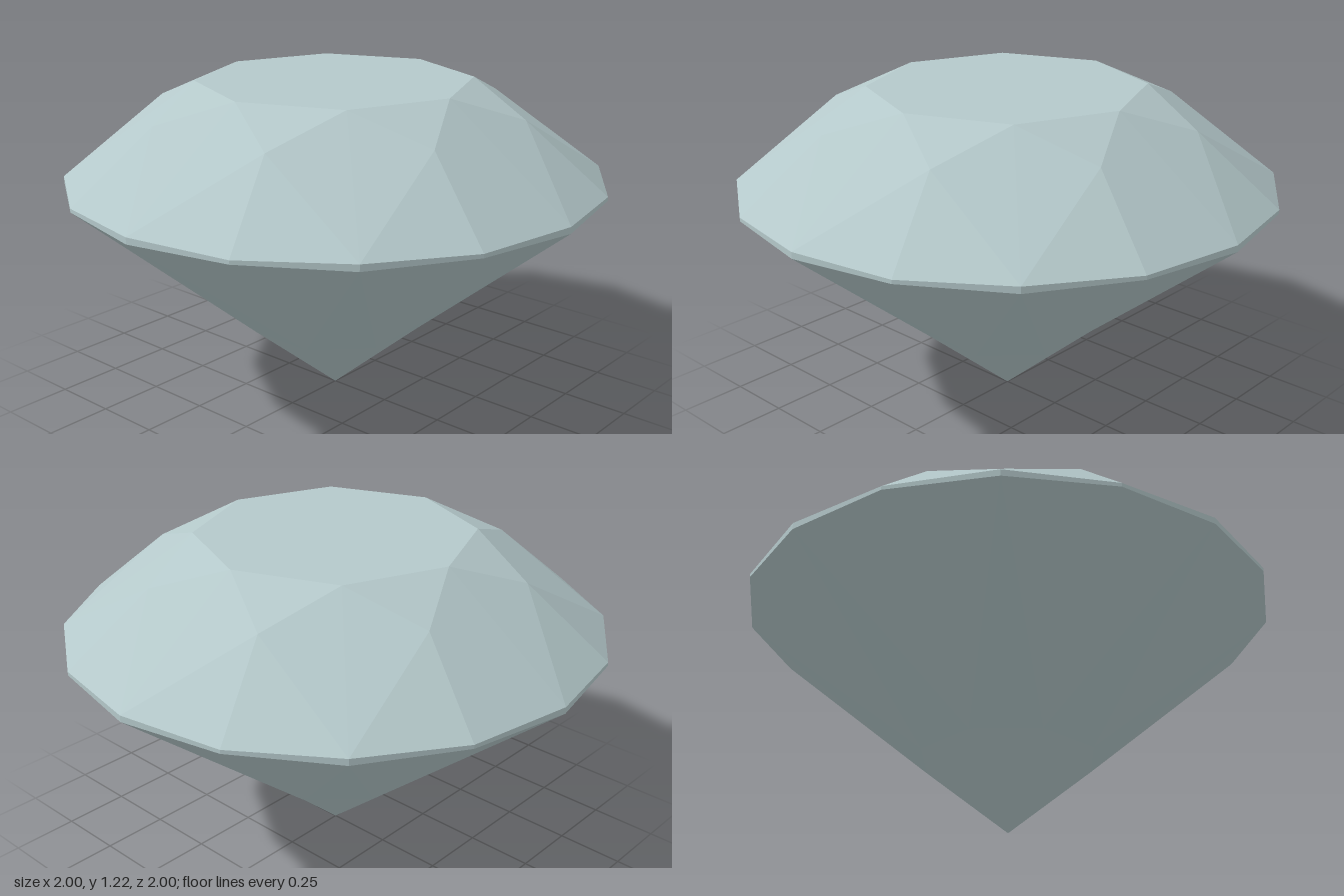
import * as THREE from 'three';

const STEP = Math.PI / 8; // 16 divisions around the stone

// A ring of corners, addressed by step index
const ring = (radius, height) => (i) => [
  radius * Math.cos(i * STEP),
  typeof height === 'function' ? height(i) : height,
  radius * Math.sin(i * STEP),
];

// Flat polygon facets, each fanned from its first corner
function facetMesh(name, facets, material) {
  const positions = [];
  for (const f of facets)
    for (let k = 1; k < f.length - 1; k++) positions.push(...f[0], ...f[k], ...f[k + 1]);
  const geometry = new THREE.BufferGeometry();
  geometry.setAttribute('position', new THREE.Float32BufferAttribute(positions, 3));
  geometry.computeVertexNormals();
  const mesh = new THREE.Mesh(geometry, material);
  mesh.name = name;
  return mesh;
}

export function createModel() {
  const group = new THREE.Group();
  group.name = 'brilliantCutGem';
  const material = new THREE.MeshStandardMaterial({ color: 0xb4c8ca, flatShading: true });

  const tableEdge = ring(0.51, 1.215);
  const crownMid = ring(0.7, 1.113);
  const girdleTop = ring(1, (i) => (i % 2 ? 0.862 : 0.867)); // slightly scalloped
  const girdleBottom = ring(1, (i) => (i % 2 ? 0.848 : 0.843));
  const pavilionMid = ring(0.335, 0.278);
  const culet = [0, 0, 0];

  const table = [[]], stars = [], bezels = [], upperHalves = [];
  const girdle = [], lowerHalves = [], mains = [];

  for (let i = 0; i < 16; i += 2) {
    // Crown: octagonal table, star triangles, kites and paired girdle triangles
    table[0].push(tableEdge(-i));
    stars.push([crownMid(i + 1), tableEdge(i), tableEdge(i + 2)]);
    bezels.push([girdleTop(i), crownMid(i - 1), tableEdge(i), crownMid(i + 1)]);
    // Pavilion: long kites meeting at the culet
    mains.push([pavilionMid(i - 1), girdleBottom(i), pavilionMid(i + 1), culet]);
    for (const j of [i, i + 1]) {
      upperHalves.push([girdleTop(j + 1), girdleTop(j), crownMid(i + 1)]);
      lowerHalves.push([pavilionMid(i + 1), girdleBottom(j), girdleBottom(j + 1)]);
      girdle.push([girdleBottom(j + 1), girdleBottom(j), girdleTop(j), girdleTop(j + 1)]);
    }
  }

  const parts = {
    table, starFacets: stars, bezelFacets: bezels, upperGirdleFacets: upperHalves,
    girdle, lowerGirdleFacets: lowerHalves, pavilionMainFacets: mains,
  };
  for (const [name, facets] of Object.entries(parts)) group.add(facetMesh(name, facets, material));
  return group;
}
